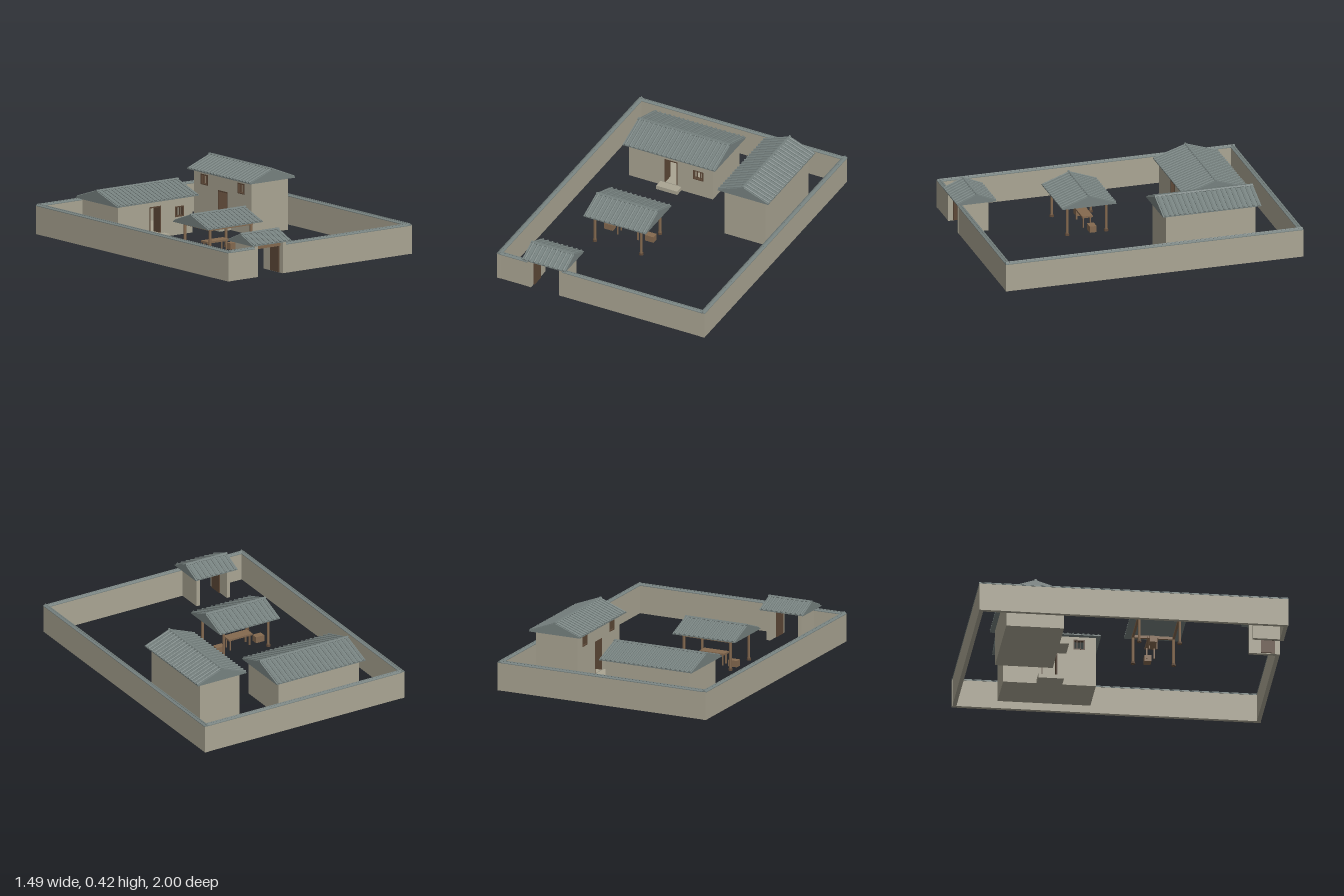
import * as THREE from 'three';
import { mergeGeometries } from 'three/addons/utils/BufferGeometryUtils.js';

const material = (name, color) => {
  const m = new THREE.MeshStandardMaterial({ color, flatShading: true });
  m.name = name;
  return m;
};

export function createModel() {
  const plaster = material('plaster', 0xaaa593);
  const tile = material('slate tile', 0x76817f);
  const wood = material('wood', 0x84694f);
  const darkWood = material('dark wood', 0x5d4837);
  const root = new THREE.Group();
  root.name = 'courtyard';

  const mesh = (parent, name, geometry, mat, x = 0, y = 0, z = 0) => {
    const m = new THREE.Mesh(geometry, mat);
    m.name = name;
    m.position.set(x, y, z);
    parent.add(m);
    return m;
  };
  // Box placed by its base height
  const box = (parent, name, mat, w, h, d, x, y, z) =>
    mesh(parent, name, new THREE.BoxGeometry(w, h, d), mat, x, y + h / 2, z);
  const group = (name, x, y, z) => {
    const g = new THREE.Group();
    g.name = name;
    g.position.set(x, y, z);
    root.add(g);
    return g;
  };
  // Five-sided gable profile swept along x
  const prism = (width, depth, lip, height) => {
    const s = new THREE.Shape([[-depth / 2, 0], [depth / 2, 0], [depth / 2, lip], [0, height], [-depth / 2, lip]]
      .map(([x, y]) => new THREE.Vector2(x, y)));
    return new THREE.ExtrudeGeometry(s, { depth: width, bevelEnabled: false })
      .translate(0, 0, -width / 2).rotateY(Math.PI / 2);
  };

  // Gable roof with tile ribs down both slopes and a ridge cap
  const roof = (parent, width, depth, eave, top) => {
    const lip = 0.006, h = top - eave - 0.008;
    mesh(parent, 'roof', prism(width, depth, lip, h), tile, 0, eave, 0);
    const ribs = [], count = Math.round(width / 0.033);
    const length = Math.hypot(depth / 2, h - lip);
    for (let i = 0; i < count; i++) {
      const x = -width / 2 + (i + 0.5) * width / count;
      for (const s of [-1, 1]) {
        ribs.push(new THREE.CylinderGeometry(0.008, 0.008, length, 6)
          .rotateX(Math.atan2(-s * depth / 2, h - lip))
          .translate(x, (h + lip) / 2, s * depth / 4));
      }
    }
    mesh(parent, 'roofTiles', mergeGeometries(ribs), tile, 0, eave, 0);
    mesh(parent, 'ridgeCap', new THREE.CylinderGeometry(0.009, 0.009, width, 6).rotateZ(Math.PI / 2),
      tile, 0, eave + h, 0);
  };

  const rectangle = (Kind, x0, y0, x1, y1) => new Kind([[x0, y0], [x1, y0], [x1, y1], [x0, y1]]
    .map(([x, y]) => new THREE.Vector2(x, y)));

  // Hollow house with a doorway, open leaves, windows and a step; its front is +z
  const house = (name, x, z, o) => {
    const g = group(name, x, 0, z);
    const t = 0.022, { w, d, h } = o, front = d / 2, floor = 0.03;
    box(g, 'floor', plaster, w - 0.002, floor, d - 0.002, 0, 0, 0);
    box(g, 'backWall', plaster, w, h, t, 0, 0, -d / 2 + t / 2);
    for (const s of [-1, 1]) box(g, 'sideWall', plaster, t, h, d - 2 * t, s * (w - t) / 2, 0, 0);
    const face = rectangle(THREE.Shape, -w / 2, 0, w / 2, h);
    const dw = o.doorWidth;
    face.holes.push(rectangle(THREE.Path, -dw / 2, floor, dw / 2, o.doorTop));
    for (const wx of o.windows) {
      const a = 0.036, b = 0.034, wy = o.windowY;
      face.holes.push(rectangle(THREE.Path, wx - a, wy - b, wx + a, wy + b));
      for (const s of [-1, 1]) {
        box(g, 'windowFrame', darkWood, 0.007, 2 * b, 0.024, wx + s * (a - 0.003), wy - b, front - t / 2);
        box(g, 'windowFrame', darkWood, 2 * a, 0.007, 0.024, wx, wy + s * (b - 0.003) - 0.0035, front - t / 2);
        box(g, 'windowBar', darkWood, 0.005, 2 * b, 0.01, wx + s * 0.012, wy - b, front - t / 2);
      }
    }
    mesh(g, 'frontWall', new THREE.ExtrudeGeometry(face, { depth: t, bevelEnabled: false }),
      plaster, 0, 0, front - t);
    // Door frame and leaves swung inward
    box(g, 'doorLintel', darkWood, dw, 0.008, 0.024, 0, o.doorTop - 0.008, front - t / 2);
    for (const s of [-1, 1]) {
      box(g, 'doorPost', darkWood, 0.006, o.doorTop - floor, 0.024, s * (dw / 2 - 0.003), floor, front - t / 2);
      box(g, 'doorLeaf', darkWood, 0.006, o.doorTop - floor - 0.01, dw / 2,
        s * (dw / 2 - 0.003), floor, front - t - dw / 4);
    }
    box(g, 'step', plaster, o.stepWidth, 0.026, o.stepDepth, 0, 0, front + o.stepDepth / 2);
    roof(g, w + 0.06, o.roofDepth, h, o.top);
    return g;
  };
  house('mainHouse', -0.225, -0.615, {
    w: 0.6, d: 0.37, h: 0.24, top: 0.324, roofDepth: 0.43, doorWidth: 0.09, doorTop: 0.205,
    windows: [0.195], windowY: 0.15, stepWidth: 0.15, stepDepth: 0.06,
  });
  house('sideHouse', 0.4625, -0.4225, {
    w: 0.595, d: 0.295, h: 0.338, top: 0.422, roofDepth: 0.362, doorWidth: 0.1, doorTop: 0.24,
    windows: [-0.19, 0.19], windowY: 0.285, stepWidth: 0.165, stepDepth: 0.09,
  }).rotation.y = -Math.PI / 2;

  // Boundary walls with tiled coping
  const wall = (name, length, x, z, alongZ) => {
    const g = group(name, x, 0, z);
    box(g, 'wallBody', plaster, length, 0.185, 0.026, 0, 0, 0);
    mesh(g, 'coping', prism(length, 0.032, 0.004, 0.013), tile, 0, 0.183, 0);
    mesh(g, 'copingRidge', new THREE.CylinderGeometry(0.004, 0.004, length, 6).rotateZ(Math.PI / 2),
      tile, 0, 0.195, 0);
    if (alongZ) g.rotation.y = Math.PI / 2;
  };
  for (const s of [-1, 1]) wall('sideBoundary', 1.982, s * 0.729, -0.008, true);
  wall('backBoundary', 1.455, 0, -0.984);
  wall('frontBoundaryRight', 0.205, -0.6275, 0.968);
  wall('frontBoundaryLeft', 1.005, 0.2275, 0.968);

  // Gatehouse with open leaves
  const gate = group('gatehouse', -0.4, 0, 0.87);
  for (const s of [-1, 1]) {
    box(gate, 'gateWall', plaster, 0.025, 0.21, 0.2, s * 0.1125, 0, 0.012);
    box(gate, 'gateLeaf', darkWood, 0.008, 0.172, 0.09, s * 0.094, 0.004, 0.035);
    box(gate, 'gateBeam', wood, 0.2, 0.032, 0.016, 0, 0.175, s * 0.045 + 0.035);
  }
  roof(gate, 0.31, 0.26, 0.205, 0.274);

  // Open pavilion with posts, beams, a table and two stools
  const pavilion = group('pavilion', -0.2115, 0, 0.2);
  for (const s of [-1, 1]) {
    for (const t of [-1, 1]) {
      mesh(pavilion, 'post', new THREE.CylinderGeometry(0.009, 0.009, 0.2, 8), wood, s * 0.166, 0.1, t * 0.13);
      mesh(pavilion, 'postFoot', new THREE.CylinderGeometry(0.013, 0.015, 0.014, 8), darkWood,
        s * 0.166, 0.007, t * 0.13);
      box(pavilion, 'tableLeg', wood, 0.008, 0.07, 0.008, s * 0.072, 0, -0.03 + t * 0.024);
    }
    box(pavilion, 'longBeam', wood, 0.35, 0.02, 0.014, 0, 0.183, s * 0.13);
    box(pavilion, 'crossBeam', wood, 0.014, 0.02, 0.26, s * 0.166, 0.183, 0);
    box(pavilion, 'stool', wood, 0.062, 0.042, 0.045, s * 0.146, 0.003, -0.04);
  }
  box(pavilion, 'tableTop', wood, 0.175, 0.012, 0.07, 0, 0.07, -0.03);
  roof(pavilion, 0.445, 0.36, 0.201, 0.28);

  return root;
}
